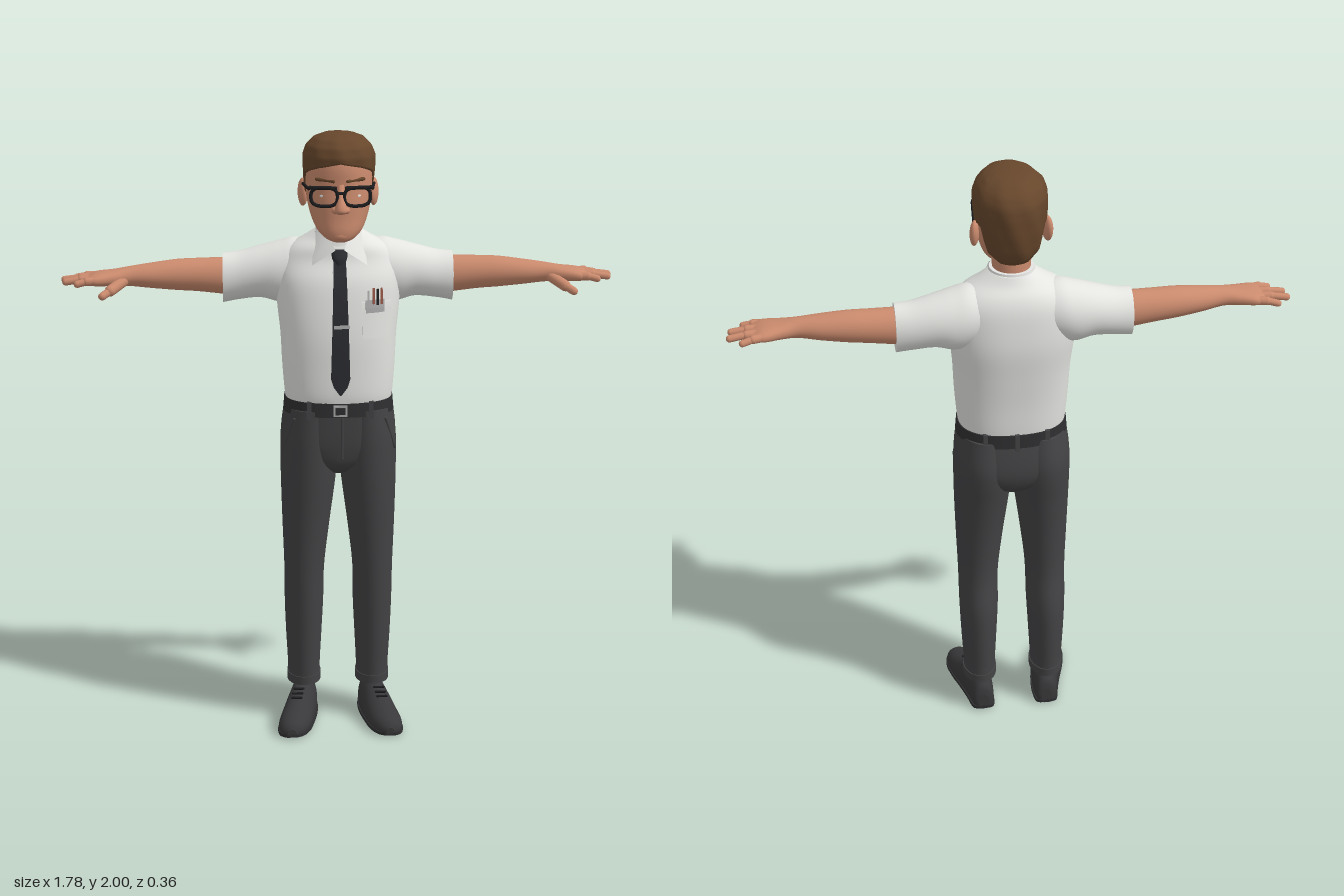
import * as THREE from 'three';

const mat = (name, color, side = THREE.FrontSide) => {
  const m = new THREE.MeshStandardMaterial({ color, side });
  m.name = name;
  return m;
};

// Catmull-Rom value of ring column k between ring i and i + 1
const spline = (rings, i, f, k) => {
  const p = (j) => rings[Math.min(Math.max(j, 0), rings.length - 1)][k] ?? 2;
  const [a, b, c, d] = [p(i - 1), p(i), p(i + 1), p(i + 2)];
  return b + 0.5 * f * (c - a + f * (2 * a - 5 * b + 4 * c - d + f * (3 * (b - c) + d - a)));
};
const power = (v, n) => Math.sign(v) * Math.abs(v) ** (2 / n);

// Closed smooth skin over rings [position, centre1, centre2, radius1, radius2, squareness]
function loft(rings, axis, floor = -1, ceiling = 9, sides = 36, steps = 5) {
  const pos = [], idx = [];
  const place = { x: (s, a, b) => [s, a, b], y: (s, a, b) => [a, s, b], z: (s, a, b) => [a, b, s] }[axis];
  const addRing = (i, f) => {
    const [s, c1, c2, r1, r2, n] = [0, 1, 2, 3, 4, 5].map((k) => spline(rings, i, f, k));
    for (let j = 0; j < sides; j++) {
      const a = (j / sides) * Math.PI * 2;
      const p = place(s, c1 + r1 * power(Math.cos(a), n), c2 + r2 * power(Math.sin(a), n));
      p[1] = Math.min(Math.max(p[1], floor), ceiling);
      pos.push(...p);
    }
    return [s, c1, c2];
  };
  let rows = 0;
  for (let i = 0; i < rings.length - 1; i++)
    for (let k = 0; k < steps; k++, rows++) addRing(i, k / steps);
  addRing(rings.length - 1, 0);
  for (let r = 0; r < rows; r++)
    for (let j = 0; j < sides; j++) {
      const a = r * sides + j, b = r * sides + (j + 1) % sides;
      idx.push(a, a + sides, b, b, a + sides, b + sides);
    }
  // Flat end caps with their own vertices
  [0, rings.length - 1].forEach((i, end) => {
    const start = pos.length / 3;
    const c = place(...addRing(i, 0));
    c[1] = Math.min(Math.max(c[1], floor), ceiling);
    pos.push(...c);
    for (let j = 0; j < sides; j++) {
      const a = start + j, b = start + (j + 1) % sides;
      idx.push(start + sides, ...(end ? [b, a] : [a, b]));
    }
  });
  // Turn faces outward
  let volume = 0;
  const v = (i) => new THREE.Vector3(pos[3 * i], pos[3 * i + 1], pos[3 * i + 2]);
  for (let i = 0; i < idx.length; i += 3) volume += v(idx[i]).dot(v(idx[i + 1]).cross(v(idx[i + 2])));
  if (volume < 0) idx.reverse();
  return surface(pos, idx);
}

function surface(pos, idx) {
  const g = new THREE.BufferGeometry();
  g.setAttribute('position', new THREE.Float32BufferAttribute(pos, 3));
  g.setIndex(idx);
  g.computeVertexNormals();
  return g;
}

const table = (rows, x, k) => {
  let i = 0;
  while (i < rows.length - 2 && x > rows[i + 1][0]) i++;
  const f = THREE.MathUtils.clamp((x - rows[i][0]) / (rows[i + 1][0] - rows[i][0]), 0, 1);
  return THREE.MathUtils.lerp(rows[i][k], rows[i + 1][k], f);
};

const torso = [
  [1.115, 0, -0.02, 0.170, 0.128, 2.4], [1.16, 0, -0.017, 0.176, 0.135, 2.4], [1.25, 0, -0.019, 0.183, 0.138, 2.4],
  [1.35, 0, -0.025, 0.188, 0.142, 2.4], [1.45, 0, -0.036, 0.198, 0.141, 2.4], [1.53, 0, -0.043, 0.2, 0.131, 2.4],
  [1.59, 0, -0.053, 0.19, 0.113, 2.3], [1.63, 0, -0.05, 0.16, 0.1, 2.2], [1.66, 0, -0.045, 0.11, 0.08], [1.685, 0, -0.04, 0.07, 0.07],
];
// Depth of the shirt front at a point
const chest = (x, y) => {
  const [c, rx, rz] = [2, 3, 4].map((k) => table(torso, y, k));
  return c + rz * Math.max(0, 1 - Math.abs(x / rx) ** 2.4) ** (1 / 2.4);
};
// Thin plate that follows the shirt front; width is a rule of height (0 bottom, 1 top)
function plate(x, y, w, h, offset, thick, width = () => 1) {
  const g = new THREE.BoxGeometry(w, h, thick, 8, 16, 1), p = g.attributes.position;
  for (let i = 0; i < p.count; i++) {
    const px = x + p.getX(i) * width(p.getY(i) / h + 0.5), py = y + p.getY(i);
    p.setXYZ(i, px, py, chest(px, py) + offset + p.getZ(i));
  }
  g.computeVertexNormals();
  return g;
}

// Hair: rings above a hairline that varies round the head
function hairGeometry() {
  const line = [[0, 1.915], [35, 1.9], [60, 1.885], [78, 1.87], [84, 1.81], [97, 1.81], [102, 1.85], [115, 1.84], [124, 1.76], [150, 1.73], [180, 1.725]];
  const form = [[1.72, 0.085, 0.08, 0.1], [1.77, 0.1, 0.1, 0.125], [1.83, 0.11, 0.12, 0.138], [1.89, 0.115, 0.132, 0.142],
    [1.93, 0.115, 0.137, 0.138], [1.96, 0.104, 0.128, 0.12], [1.983, 0.08, 0.105, 0.09], [1.995, 0.048, 0.07, 0.055], [2, 0, 0, 0]];
  const N = 72, M = 24, pos = [], idx = [];
  for (let r = 0; r <= M; r++)
    for (let j = 0; j < N; j++) {
      const a = (j / N) * Math.PI * 2, deg = Math.abs(a > Math.PI ? a - 2 * Math.PI : a) * 180 / Math.PI;
      const low = table(line, deg, 1), t = Math.max(0, r - 1) / (M - 1);
      const y = low + (2 - low) * Math.sin(t * Math.PI / 2), inset = r ? 1 : 0.86;
      const wave = 1 + 0.012 * Math.sin(a * 9 + y * 30);
      const depth = table(form, y, Math.cos(a) > 0 ? 2 : 3);
      pos.push(Math.sin(a) * table(form, y, 1) * inset * wave, y, Math.cos(a) * depth * inset * wave);
    }
  for (let r = 0; r < M; r++)
    for (let j = 0; j < N; j++) {
      const a = r * N + j, b = r * N + (j + 1) % N;
      idx.push(a, b, a + N, b, b + N, a + N);
    }
  return surface(pos, idx);
}

export function createModel() {
  const model = new THREE.Group();
  const skin = mat('skin', 0xcb8b6e), hair = mat('hair brown', 0x67472c), shirt = mat('shirt white', 0xe4e4e1, THREE.DoubleSide);
  const trousers = mat('trousers charcoal', 0x434345), black = mat('black', 0x1c1c1e), belt = mat('belt leather', 0x2f2f31);
  const tie = mat('tie dark', 0x2b2c31), shoe = mat('shoe leather', 0x39393b), silver = mat('silver', 0xa8a8a8), red = mat('dull red', 0x8f5242);

  const add = (name, geometry, material) => {
    const m = new THREE.Mesh(geometry, material);
    m.name = name;
    model.add(m);
    return m;
  };
  const ball = (name, m, x, y, z, rx, ry, rz) => {
    const b = add(name, new THREE.SphereGeometry(1, 20, 14), m);
    b.position.set(x, y, z);
    b.scale.set(rx, ry, rz);
    return b;
  };
  const rod = (name, m, a, b, r) => {
    const p = new THREE.Vector3(...a), q = new THREE.Vector3(...b), d = q.clone().sub(p);
    const c = add(name, new THREE.CapsuleGeometry(r, d.length(), 5, 12), m);
    c.position.copy(p).add(q).multiplyScalar(0.5);
    c.quaternion.setFromUnitVectors(new THREE.Vector3(0, 1, 0), d.normalize());
  };
  const box = (name, m, x, y, z, w, h, d) => add(name, new THREE.BoxGeometry(w, h, d), m).position.set(x, y, z);

  // Head and neck
  add('neck', loft([[1.62, 0, -0.03, 0.062, 0.062], [1.68, 0, -0.03, 0.06, 0.062], [1.75, 0, -0.02, 0.065, 0.07]], 'y'), skin);
  add('head', loft([[1.665, 0, 0.088, 0.022, 0.025], [1.675, 0, 0.075, 0.046, 0.052, 2.2], [1.7, 0, 0.052, 0.072, 0.08, 2.2], [1.74, 0, 0.027, 0.09, 0.102, 2.2],
    [1.79, 0, 0.01, 0.102, 0.118, 2.2], [1.84, 0, 0.002, 0.106, 0.122, 2.2], [1.9, 0, 0, 0.106, 0.126], [1.95, 0, 0, 0.09, 0.11], [1.975, 0, 0, 0.06, 0.07]], 'y'), skin);
  add('hair', hairGeometry(), hair);
  add('nose', loft([[1.76, 0, 0.138, 0.012, 0.012], [1.768, 0, 0.143, 0.021, 0.021], [1.785, 0, 0.14, 0.018, 0.022], [1.815, 0, 0.128, 0.012, 0.018], [1.85, 0, 0.115, 0.012, 0.014]], 'y'), skin);
  rod('mouth', red, [-0.022, 1.722, 0.121], [0.022, 1.722, 0.121], 0.004);
  ball('lowerLip', skin, 0, 1.711, 0.119, 0.026, 0.009, 0.012);
  ball('chin', skin, 0, 1.688, 0.112, 0.032, 0.02, 0.02);

  // Shirt body, collar band and front details
  add('shirtBody', loft(torso, 'y', -1, 9, 48), shirt);
  add('collarBand', loft([[1.64, 0, -0.036, 0.088, 0.082], [1.67, 0, -0.034, 0.077, 0.073], [1.692, 0, -0.034, 0.071, 0.068]], 'y'), shirt);
  add('placket', plate(0, 1.37, 0.045, 0.46, 0.001, 0.006), shirt);
  add('pocket', plate(0.117, 1.405, 0.095, 0.125, 0.002, 0.008, (t) => (t < 0.15 ? 0.75 + t * 1.67 : 1)), shirt);
  add('pocketProtector', plate(0.112, 1.455, 0.062, 0.04, 0.007, 0.004), silver);
  [[0.09, 1.48, silver], [0.107, 1.488, red], [0.12, 1.484, black], [0.133, 1.486, red]].forEach(([x, y, m]) =>
    add('pen', plate(x, y, 0.007, 0.05, 0.011, 0.006), m));

  // Tie, knot and clip
  add('tie', plate(0, 1.39, 0.062, 0.44, 0.01, 0.01, (t) => (t < 0.09 ? 0.05 + t * 10.5 : 1 - 0.42 * (t - 0.09))), tie);
  add('tieKnot', loft([[1.585, 0, 0.066, 0.015, 0.014], [1.605, 0, 0.062, 0.024, 0.017], [1.63, 0, 0.052, 0.026, 0.015]], 'y'), tie);
  add('tieClip', plate(0.004, 1.395, 0.05, 0.01, 0.017, 0.006), silver);

  // Hips, belt and buckle
  add('hips', loft([[0.885, 0, -0.025, 0.05, 0.07], [0.92, 0, -0.026, 0.12, 0.115], [0.97, 0, -0.03, 0.18, 0.133, 2.4], [1.03, 0, -0.028, 0.188, 0.137, 2.4], [1.12, 0, -0.02, 0.177, 0.132, 2.4]], 'y'), trousers);
  add('belt', loft([[1.093, 0, -0.02, 0.181, 0.137, 2.4], [1.14, 0, -0.02, 0.177, 0.135, 2.4]], 'y'), belt);
  box('buckle', silver, 0, 1.116, 0.119, 0.045, 0.036, 0.008);
  box('buckleCentre', belt, 0, 1.116, 0.121, 0.032, 0.023, 0.008);
  rod('fly', trousers, [0.006, 0.95, 0.102], [0.006, 1.09, 0.112], 0.004);
  for (const [x, z] of [[0.1, 0.102], [-0.1, 0.102], [0.1, -0.14], [-0.1, -0.14], [0, -0.156]])
    box('beltLoop', trousers, x, 1.115, z, 0.014, 0.058, 0.012);

  // Glasses bridge
  rod('glassesBridge', black, [-0.012, 1.825, 0.14], [0.012, 1.825, 0.14], 0.005);

  for (const s of [1, -1]) {
    const side = s > 0 ? 'left' : 'right';
    const flip = (rings, k) => rings.map((r) => r.map((v, i) => (i === k ? v * s : v)));

    // Face features
    ball(side + 'Ear', skin, s * 0.113, 1.805, -0.022, 0.015, 0.045, 0.027).rotation.set(-0.15, -s * 0.3, 0);
    ball(side + 'Eye', shirt, s * 0.044, 1.812, 0.1, 0.022, 0.012, 0.014);
    ball(side + 'Iris', black, s * 0.043, 1.812, 0.111, 0.008, 0.009, 0.005);
    ball(side + 'Nostril', skin, s * 0.017, 1.77, 0.131, 0.012, 0.011, 0.015);
    rod(side + 'Brow', hair, [s * 0.022, 1.86, 0.12], [s * 0.073, 1.864, 0.098], 0.006);

    // Glasses rim and temple
    const rim = Array.from({ length: 28 }, (_, i) => {
      const a = (i / 28) * Math.PI * 2, x = 0.052 + 0.041 * power(Math.cos(a), 2.8);
      return new THREE.Vector3(s * x, 1.814 + 0.029 * power(Math.sin(a), 2.8), 0.142 - 2 * x * x);
    });
    add(side + 'GlassesRim', new THREE.TubeGeometry(new THREE.CatmullRomCurve3(rim, true), 56, 0.0055, 8, true), black);
    rod(side + 'GlassesBrowBar', black, [s * 0.018, 1.842, 0.141], [s * 0.097, 1.842, 0.125], 0.006);
    rod(side + 'GlassesTemple', black, [s * 0.1, 1.838, 0.122], [s * 0.115, 1.832, -0.03], 0.005);

    // Collar wing
    const wing = [s * 0.079, 1.675, -0.02, s * 0.088, 1.583, 0.068, s * 0.014, 1.632, 0.076, s * 0.03, 1.672, 0.045, s * 0.065, 1.69, 0.005];
    add(side + 'CollarWing', surface(wing, s > 0 ? [0, 4, 1, 4, 3, 1, 3, 2, 1] : [0, 1, 4, 4, 1, 3, 3, 1, 2]), shirt);

    // Sleeve, arm and palm
    add(side + 'Sleeve', loft(flip([[0.08, 1.555, -0.065, 0.085, 0.08], [0.14, 1.55, -0.068, 0.1, 0.092], [0.19, 1.54, -0.07, 0.1, 0.092], [0.25, 1.539, -0.072, 0.085, 0.082],
      [0.32, 1.527, -0.071, 0.079, 0.071], [0.372, 1.52, -0.067, 0.081, 0.065]], 0), 'x'), shirt);
    add(side + 'Arm', loft(flip([[0.34, 1.525, -0.067, 0.062, 0.055], [0.45, 1.531, -0.063, 0.054, 0.053], [0.52, 1.533, -0.058, 0.05, 0.051], [0.6, 1.533, -0.05, 0.041, 0.046],
      [0.67, 1.533, -0.042, 0.032, 0.037], [0.72, 1.53, -0.038, 0.026, 0.046, 2.3], [0.775, 1.527, -0.037, 0.021, 0.06, 2.5], [0.805, 1.525, -0.037, 0.013, 0.054, 2.5]], 0), 'x'), skin);
    for (const [z0, x1, z1] of [[-0.08, 0.842, -0.096], [-0.052, 0.88, -0.06], [-0.023, 0.874, -0.02], [0.006, 0.835, 0.017]]) {
      rod(side + 'Finger', skin, [s * 0.775, 1.527, z0], [s * (0.775 + x1) / 2, 1.527, (z0 + z1) / 2], 0.014);
      rod(side + 'Fingertip', skin, [s * (0.775 + x1) / 2, 1.527, (z0 + z1) / 2], [s * x1, 1.52, z1], 0.0115);
    }
    rod(side + 'ThumbBase', skin, [s * 0.69, 1.522, -0.015], [s * 0.73, 1.5, 0.028], 0.018);
    rod(side + 'ThumbTip', skin, [s * 0.73, 1.5, 0.028], [s * 0.755, 1.487, 0.05], 0.013);

    // Trouser leg and hem
    add(side + 'TrouserLeg', loft(flip([[0.13, 0.116, -0.055, 0.055, 0.074], [0.18, 0.116, -0.053, 0.054, 0.078], [0.3, 0.116, -0.049, 0.06, 0.09], [0.42, 0.115, -0.042, 0.065, 0.098],
      [0.55, 0.114, -0.026, 0.067, 0.095], [0.7, 0.108, -0.022, 0.078, 0.105], [0.85, 0.1, -0.024, 0.09, 0.122], [0.95, 0.096, -0.029, 0.095, 0.134], [1.02, 0.094, -0.029, 0.095, 0.137], [1.11, 0.088, -0.021, 0.088, 0.129]], 1), 'y'), trousers);
    add(side + 'TrouserHem', loft(flip([[0.125, 0.116, -0.055, 0.057, 0.077], [0.155, 0.116, -0.054, 0.057, 0.079]], 1), 'y'), trousers);
    rod(side + 'PocketSeam', trousers, [s * 0.182, 0.97, 0.035], [s * 0.148, 1.08, 0.079], 0.005);

    // Shoe, sole, heel and laces
    const last = flip([[-0.127, 0.11, 0.035, 0.018, 0.03], [-0.115, 0.111, 0.042, 0.035, 0.06], [-0.06, 0.115, 0.045, 0.044, 0.088], [0, 0.126, 0.04, 0.05, 0.082],
      [0.06, 0.141, 0.03, 0.054, 0.06], [0.12, 0.154, 0.025, 0.053, 0.044], [0.165, 0.162, 0.022, 0.038, 0.032], [0.183, 0.164, 0.02, 0.014, 0.014]], 1);
    add(side + 'Shoe', loft(last, 'z', 0.012), shoe);
    add(side + 'Sole', loft(last.map(([z, x, y, rx]) => [z, x, 0.01, rx + 0.003, 0.03, 3]), 'z', 0.006, 0.017), belt);
    add(side + 'Heel', loft(flip([[0, 0.113, -0.085, 0.036, 0.037, 2.6], [0.016, 0.113, -0.085, 0.037, 0.038, 2.6]], 1), 'y'), belt);
    for (const [z, y] of [[0.025, 0.114], [0.042, 0.104], [0.058, 0.095]])
      rod(side + 'Lace', black, [s * (0.114 + z * 0.25), y, z], [s * (0.145 + z * 0.25), y, z], 0.004);
  }
  return model;
}
